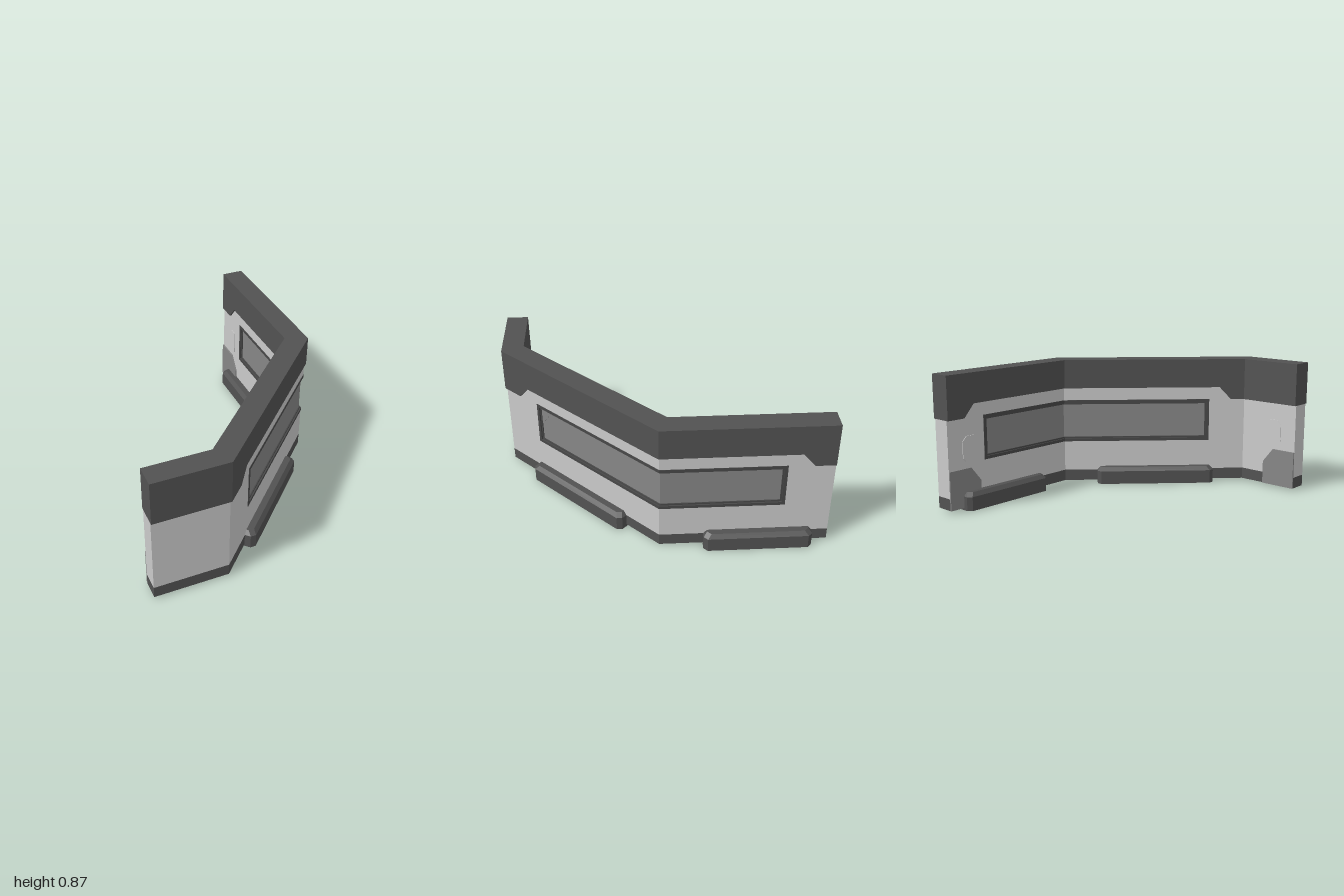
import * as THREE from 'three';

const mat = (name, color) => {
  const m = new THREE.MeshStandardMaterial({ color });
  m.name = name;
  return m;
};

export function createModel() {
  const light = mat('lightPanel', 0xcacaca);
  const dark = mat('darkTrim', 0x525252);
  const grey = mat('midGrey', 0x868686);
  const frameMat = mat('windowFrame', 0x484848);

  const WALL = 0.058, CAP = 0.07, MITRE = Math.tan(Math.PI / 8);
  const root = new THREE.Group();
  root.name = 'angledBarrierWall';

  // Three straight runs along a centre line: local x runs along the wall, z is its front
  const runs = [
    { name: 'leftRun', p: [-0.74, 0.93], turn: 0, len: 0.44, joinStart: false, joinEnd: true },
    { name: 'middleRun', p: [-0.30, 0.93], turn: Math.PI / 4, len: Math.hypot(0.92, 0.92), joinStart: true, joinEnd: true },
    { name: 'rightRun', p: [0.62, 0.01], turn: Math.PI / 2, len: 1.01, joinStart: true, joinEnd: false },
  ];
  for (const r of runs) {
    r.group = new THREE.Group();
    r.group.name = r.name;
    r.group.position.set(r.p[0], 0, r.p[1]);
    r.group.rotation.y = r.turn;
    root.add(r.group);
  }
  const [A, B, C] = runs;

  // Slab from an outline in (along, up), between two depths, mitred where runs meet
  function slab(run, name, material, pts, d0, d1) {
    const shape = new THREE.Shape(pts.map(([x, y]) => new THREE.Vector2(x, y)));
    const geo = new THREE.ExtrudeGeometry(shape, { depth: d1 - d0, bevelEnabled: false });
    geo.translate(0, 0, d0);
    const pos = geo.attributes.position;
    for (let i = 0; i < pos.count; i++) {
      const x = pos.getX(i), z = pos.getZ(i);
      if (run.joinStart && Math.abs(x) < 1e-4) pos.setX(i, x - z * MITRE);
      if (run.joinEnd && Math.abs(x - run.len) < 1e-4) pos.setX(i, x + z * MITRE);
    }
    geo.computeVertexNormals();
    const mesh = new THREE.Mesh(geo, material);
    mesh.name = name;
    run.group.add(mesh);
  }
  const rect = (x0, x1, y0, y1) => [[x0, y0], [x1, y0], [x1, y1], [x0, y1]];
  const mirror = (pts, len) => pts.map(([x, y]) => [len - x, y]).reverse();

  // Base strip
  for (const r of runs) slab(r, 'baseStrip', dark, rect(0, r.len, 0.015, 0.09), -WALL, WALL);

  // Light wall panels, with the window opening shared by two runs
  const LOW = 0.585, HIGH = 0.67, TOP = 0.865, SILL = 0.295;
  slab(A, 'wallPanel', light, rect(0, A.len, 0.09, LOW), -WALL, WALL);
  const wallWithNotch = (len, win, s0, s1) => [
    [0, 0.09], [len, 0.09], [len, SILL], [win, SILL], [win, LOW], [len, LOW],
    [len, HIGH], [s1, HIGH], [s0, LOW], [0, LOW],
  ];
  slab(B, 'wallPanel', light, wallWithNotch(B.len, 0.27, 0.12, 0.20), -WALL, WALL);
  slab(C, 'wallPanel', light, mirror(wallWithNotch(C.len, 0.28, 0.125, 0.20), C.len), -WALL, WALL);

  // Dark upper band with stepped lower edge
  const band = (len, s0, s1) => [[0, LOW], [s0, LOW], [s1, HIGH], [len, HIGH], [len, TOP], [0, TOP]];
  slab(A, 'upperBand', dark, rect(0, A.len, LOW, TOP), -CAP, CAP);
  slab(B, 'upperBand', dark, band(B.len, 0.12, 0.20), -CAP, CAP);
  slab(C, 'upperBand', dark, mirror(band(C.len, 0.125, 0.20), C.len), -CAP, CAP);

  // Window: outer frame, inner lip and recessed pane, bent round the corner
  const cFrame = (len, x, inset, w) => {
    const a = x + inset, b = a + w, y0 = SILL + inset, y1 = LOW - inset;
    return [[a, y0], [len, y0], [len, y0 + w], [b, y0 + w], [b, y1 - w], [len, y1 - w], [len, y1], [a, y1]];
  };
  for (const [run, x, flip] of [[B, 0.27, false], [C, 0.28, true]]) {
    const place = (pts) => (flip ? mirror(pts, run.len) : pts);
    slab(run, 'windowFrame', frameMat, place(cFrame(run.len, x, 0, 0.02)), -0.061, 0.061);
    slab(run, 'windowLip', frameMat, place(cFrame(run.len, x, 0.02, 0.01)), -0.052, 0.052);
    slab(run, 'windowPane', grey, place(rect(x + 0.03, run.len, SILL + 0.03, LOW - 0.03)), -0.045, 0.045);
  }
  slab(B, 'paneCorner', grey, [[0.30, 0.44], [0.39, 0.555], [0.30, 0.555]], 0.045, 0.048);

  // Service plates on the back of both outer ends
  const guard = [[0, 0.015], [0.24, 0.015], [0.24, 0.17], [0.165, 0.265], [0, 0.265]];
  const hatch = [[0.11, 0.33], [0.13, 0.31], [0.20, 0.31], [0.20, 0.47], [0.14, 0.47], [0.11, 0.44]];
  for (const [run, flip] of [[A, false], [C, true]]) {
    const place = (pts) => (flip ? mirror(pts, run.len) : pts);
    slab(run, 'backGuardPlate', grey, place(guard), -0.068, -WALL);
    slab(run, 'backHatch', light, place(hatch), -0.063, -WALL);
  }

  // Chamfered feet straddling the wall
  function foot(run, s0, s1) {
    const h = (s1 - s0) / 2, w = 0.121, c = 0.025;
    const plan = [[-h + c, -w], [h - c, -w], [h, -w + c], [h, w - c], [h - c, w], [-h + c, w], [-h, w - c], [-h, -w + c]];
    const geo = new THREE.ExtrudeGeometry(
      new THREE.Shape(plan.map(([x, y]) => new THREE.Vector2(x, y))),
      { depth: 1, steps: 2, bevelEnabled: false });
    const pos = geo.attributes.position;
    for (let i = 0; i < pos.count; i++) {
      const x = pos.getX(i), y = pos.getY(i), z = pos.getZ(i);
      const inset = z > 0.9 ? 0.022 : 0;
      pos.setXYZ(i, x - Math.sign(x) * inset, y - Math.sign(y) * inset, z > 0.9 ? 0.115 : z > 0.4 ? 0.09 : 0);
    }
    geo.rotateX(-Math.PI / 2);
    geo.computeVertexNormals();
    const mesh = new THREE.Mesh(geo, dark);
    mesh.name = 'foot';
    mesh.position.x = (s0 + s1) / 2;
    run.group.add(mesh);
  }
  foot(B, 0.24, 1.05);
  foot(C, 0.245, 0.91);

  return root;
}
